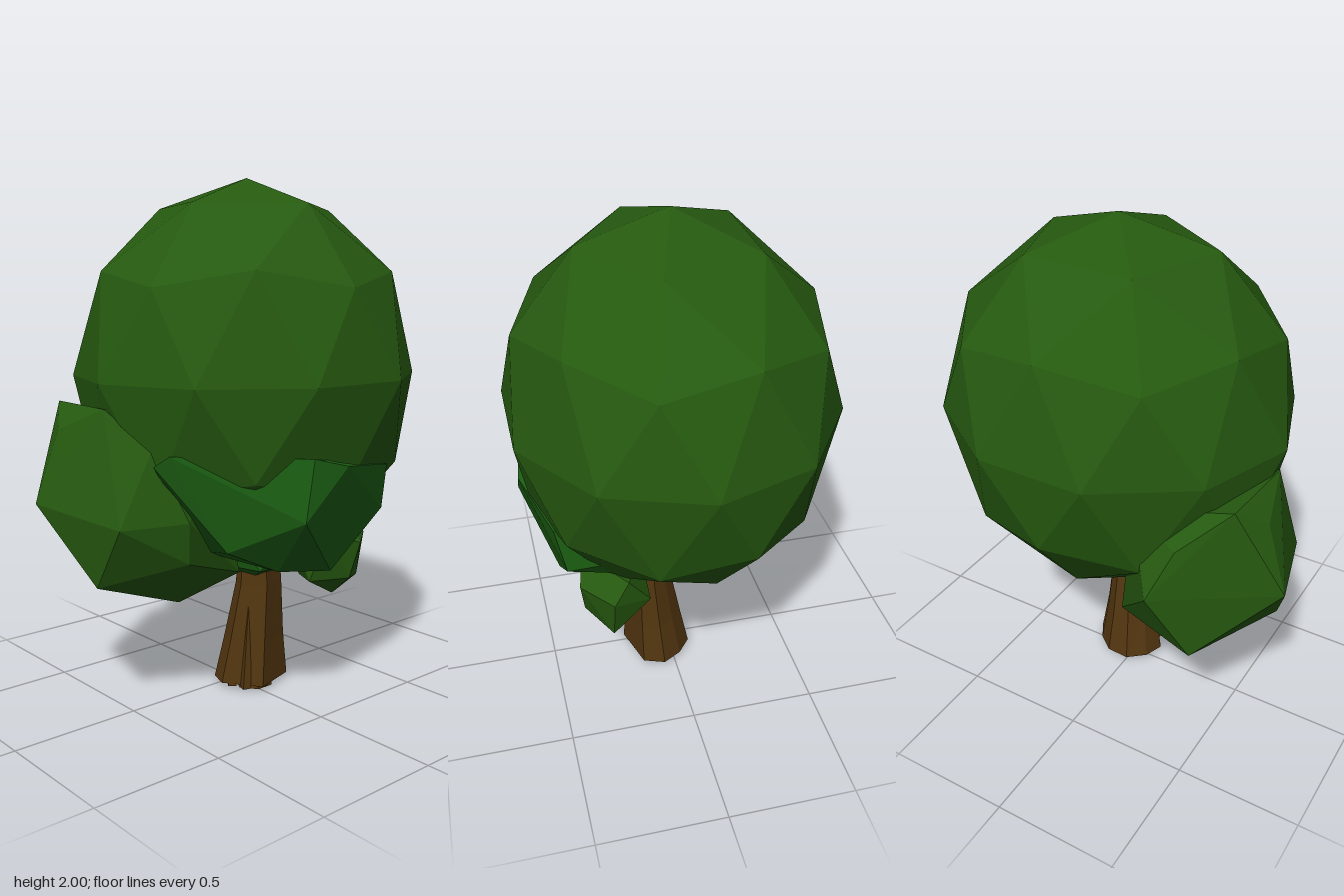
import * as THREE from 'three';
import { ConvexGeometry } from 'three/addons/geometries/ConvexGeometry.js';

const flat = (color) => new THREE.MeshStandardMaterial({ color, flatShading: true });
const leaf = flat(0x265a10);
const brightLeaf = flat(0x1b5c12);
const bark = flat(0x52350f);

// Icosphere with a pole straight up
function icoGeometry(detail) {
  const v = [0, 1, 0];
  for (const [y, phase] of [[0.4472, 0], [-0.4472, 0.5]]) {
    for (let i = 0; i < 5; i++) {
      const a = (i + phase) * Math.PI * 2 / 5;
      v.push(0.8944 * Math.cos(a), y, -0.8944 * Math.sin(a));
    }
  }
  v.push(0, -1, 0);
  const f = [];
  for (let i = 0; i < 5; i++) {
    const j = (i + 1) % 5;
    f.push(0, 1 + i, 1 + j, 1 + i, 6 + i, 1 + j, 1 + j, 6 + i, 6 + j, 11, 6 + j, 6 + i);
  }
  return new THREE.PolyhedronGeometry(v, f, 1, detail);
}

function add(group, name, geometry, material) {
  const mesh = new THREE.Mesh(geometry, material);
  mesh.name = name;
  group.add(mesh);
  return mesh;
}

const hull = (points) => new ConvexGeometry(points.map((p) => new THREE.Vector3(...p)));

// Tapered bark column; each level is [y, centre x, centre z, half width, half depth]
function columnGeometry(levels, radii) {
  const n = radii.length;
  const geo = new THREE.CylinderGeometry(1, 1, 1, n, levels.length - 1);
  const p = geo.attributes.position;
  for (let i = 0; i < p.count; i++) {
    const t = Math.round((0.5 - p.getY(i)) * (levels.length - 1));
    const [y, cx, cz, w, d] = levels[t];
    const a = Math.atan2(p.getZ(i), p.getX(i));
    const k = ((Math.round(a * n / (Math.PI * 2)) % n) + n) % n;
    const r = Math.hypot(p.getX(i), p.getZ(i)) < 0.01 ? 0 : radii[k];
    p.setXYZ(i, cx + Math.cos(a) * r * w, y, cz + Math.sin(a) * r * d);
  }
  geo.computeVertexNormals();
  return geo;
}

export function createModel() {
  const tree = new THREE.Group();
  tree.name = 'tree';

  // Large crown
  const crown = add(tree, 'crown', icoGeometry(1), leaf);
  crown.scale.set(0.642, 0.75, 0.695);
  crown.position.set(0, 1.25, -0.065);

  // Front lower clump
  add(tree, 'frontFoliage', hull([
    [-0.23, 0.8, 0.76], [-0.21, 1.07, 0.67], [-0.33, 1.16, 0.59], [0, 1.16, 0.61],
    [0.17, 1.03, 0.52], [0.15, 0.75, 0.65], [0.25, 0.76, 0.42], [0.22, 0.6, 0.4],
    [0, 0.51, 0.65], [-0.4, 0.51, 0.47], [-0.51, 0.8, 0.34], [-0.44, 1, 0.42],
    [0, 0.38, 0.28], [0.15, 0.5, 0.1], [-0.3, 0.52, 0.12], [-0.35, 1.05, 0.2], [0.1, 1.05, 0.2],
  ]), leaf);

  // Side lower clump
  add(tree, 'sideFoliage', hull([
    [0.25, 1.01, 0.51], [0.2, 0.97, 0.54], [0.57, 1.0, 0.12], [0.59, 0.96, -0.03],
    [0.58, 0.78, 0.17], [0.5, 0.92, -0.34], [0.46, 0.74, -0.36], [0.46, 0.54, -0.08],
    [0.42, 0.57, 0.15], [0.36, 0.66, 0.34], [0.25, 0.5, -0.05], [0.1, 0.6, 0.25],
    [0.15, 0.62, -0.3], [0.05, 0.8, -0.42], [0.1, 0.9, 0.4],
  ]), brightLeaf);

  // Small clump behind
  add(tree, 'backFoliage', hull([
    [0.28, 0.37, -0.28], [0.39, 0.46, -0.26], [0.3, 0.43, -0.4], [0.3, 0.6, -0.44],
    [0.41, 0.6, -0.3], [0.24, 0.69, -0.42], [0.15, 0.56, -0.38], [0.17, 0.44, -0.2],
    [0.3, 0.45, -0.13], [0.38, 0.65, -0.15], [0.15, 0.65, -0.15],
  ]), leaf);

  // Small clump around the trunk top
  const inner = add(tree, 'innerFoliage', icoGeometry(0), brightLeaf);
  inner.scale.set(0.22, 0.15, 0.18);
  inner.position.set(0.05, 0.57, -0.05);

  // Trunk with bark ridges
  add(tree, 'trunk', columnGeometry([
    [0.6, 0.085, -0.055, 0.07, 0.075],
    [0.42, 0.083, -0.055, 0.083, 0.087],
    [0.2, 0.065, -0.045, 0.108, 0.113],
    [0.02, 0.05, -0.04, 0.13, 0.142],
  ], [0.95, 1.12, 0.86, 1.02, 1.1, 0.98, 1.06, 1, 1.12, 0.9]), bark);

  // Inner wood standing slightly lower
  add(tree, 'trunkCore', columnGeometry([
    [0.4, 0.09, -0.05, 0.06, 0.06],
    [0, 0.095, -0.03, 0.08, 0.08],
  ], [1, 0.9, 1, 0.95, 1, 0.9]), bark);

  // Bark slivers down the front and side
  for (const [x, z, turn] of [[0.07, 0.068, 0.1], [0.13, 0.05, 0.5], [0.155, -0.02, 1.3]]) {
    const sliver = add(tree, 'barkSliver', columnGeometry([
      [0.38, 0, -0.045, 0.006, 0.006], [0.01, 0, 0, 0.024, 0.024],
    ], [1, 1, 1, 1]), bark);
    sliver.position.set(x, 0, z);
    sliver.rotation.y = turn;
  }
  return tree;
}
